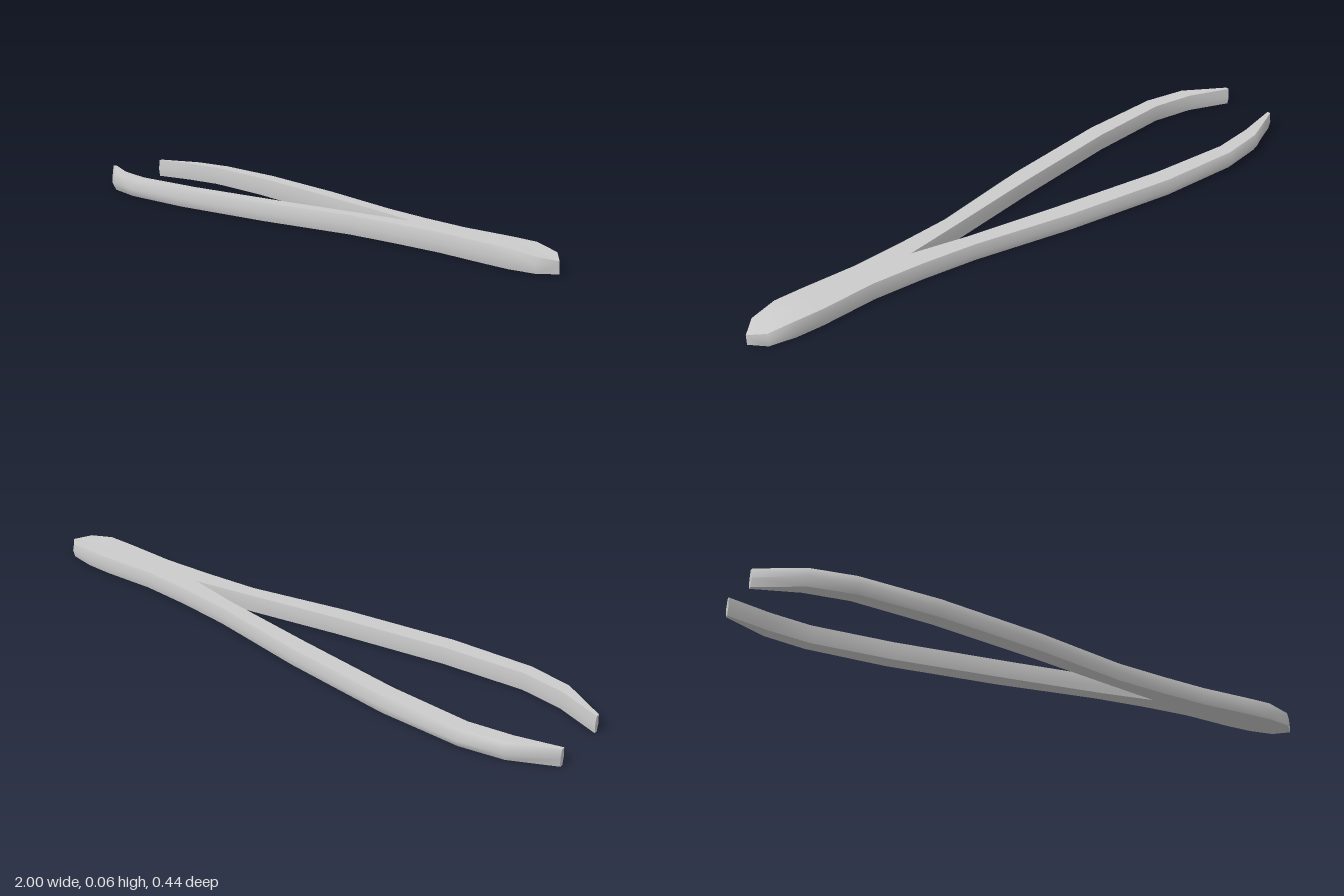
import * as THREE from 'three';
import { toCreasedNormals } from 'three/addons/utils/BufferGeometryUtils.js';

const HEIGHT = 0.06;
const RIDGE_Y = 0.028;
const JOIN = 6; // station where the two arms meet

// Stations along the length: x, outer offset, inner offset, outer bevel, centre line z
const STATIONS = [
  [-1.0, 0.113, 0.092, 0.005, -0.012],
  [-0.86, 0.198, 0.135, 0.016, -0.004],
  [-0.72, 0.222, 0.155, 0.016, -0.004],
  [-0.45, 0.206, 0.136, 0.010, -0.007],
  [-0.08, 0.153, 0.083, 0.008, -0.011],
  [0.25, 0.088, 0.029, 0.007, -0.016],
  [0.43, 0.07, 0, 0.007, -0.014],
  [0.6, 0.06, 0, 0.007, -0.0135],
  [0.78, 0.067, 0, 0.007, -0.0155],
  [0.87, 0.066, 0, 0.007, -0.0145],
  [0.955, 0.051, 0, 0.007, -0.0145],
];

// Six-point cross-section, with a ridge on the outer side and a slight bulge inside
function section([x, outer, inner, bevel, centre], i, side) {
  const last = i === STATIONS.length - 1;
  const outerTop = last ? 0.047 : HEIGHT;
  const innerTop = last ? 0.036 : HEIGHT;
  const innerX = last ? 1.0 : x; // the handle ends in a blunt point
  const bulge = i < JOIN ? 0.004 : 0;
  return [
    [x, outerTop, outer - bevel],
    [x, RIDGE_Y, outer],
    [x, 0, outer - bevel],
    [innerX, 0, inner + bulge],
    [innerX, RIDGE_Y, inner],
    [innerX, innerTop, inner + bulge],
  ].map(([px, py, pz]) => [px, py, centre + side * pz]);
}

// One arm with its half of the handle, lofted through the stations
function halfGeometry(side) {
  const rings = STATIONS.map((s, i) => section(s, i, side));
  const n = 6;
  const index = [];
  const tri = (a, b, c) => index.push(...(side > 0 ? [a, b, c] : [a, c, b]));
  for (let i = 0; i < rings.length - 1; i++) {
    for (let k = 0; k < n; k++) {
      if (i >= JOIN && (k === 3 || k === 4)) continue; // no wall inside the handle
      const a = i * n + k, b = i * n + (k + 1) % n;
      tri(a, b, b + n);
      tri(a, b + n, a + n);
    }
  }
  // End caps, fanned from the inner middle point
  const end = (rings.length - 1) * n;
  for (let j = 1; j < n - 1; j++) {
    const p = (4 + j) % n, q = (5 + j) % n;
    tri(end + 4, end + p, end + q);
    tri(4, q, p);
  }
  const geometry = new THREE.BufferGeometry();
  geometry.setAttribute('position', new THREE.Float32BufferAttribute(rings.flat(2), 3));
  geometry.setIndex(index);
  return toCreasedNormals(geometry, 1.03);
}

export function createModel() {
  const group = new THREE.Group();
  group.name = 'tweezers';
  const material = new THREE.MeshStandardMaterial({ color: 0xcccccc });
  for (const [name, side] of [['frontArm', 1], ['backArm', -1]]) {
    const arm = new THREE.Mesh(halfGeometry(side), material);
    arm.name = name;
    group.add(arm);
  }
  return group;
}
